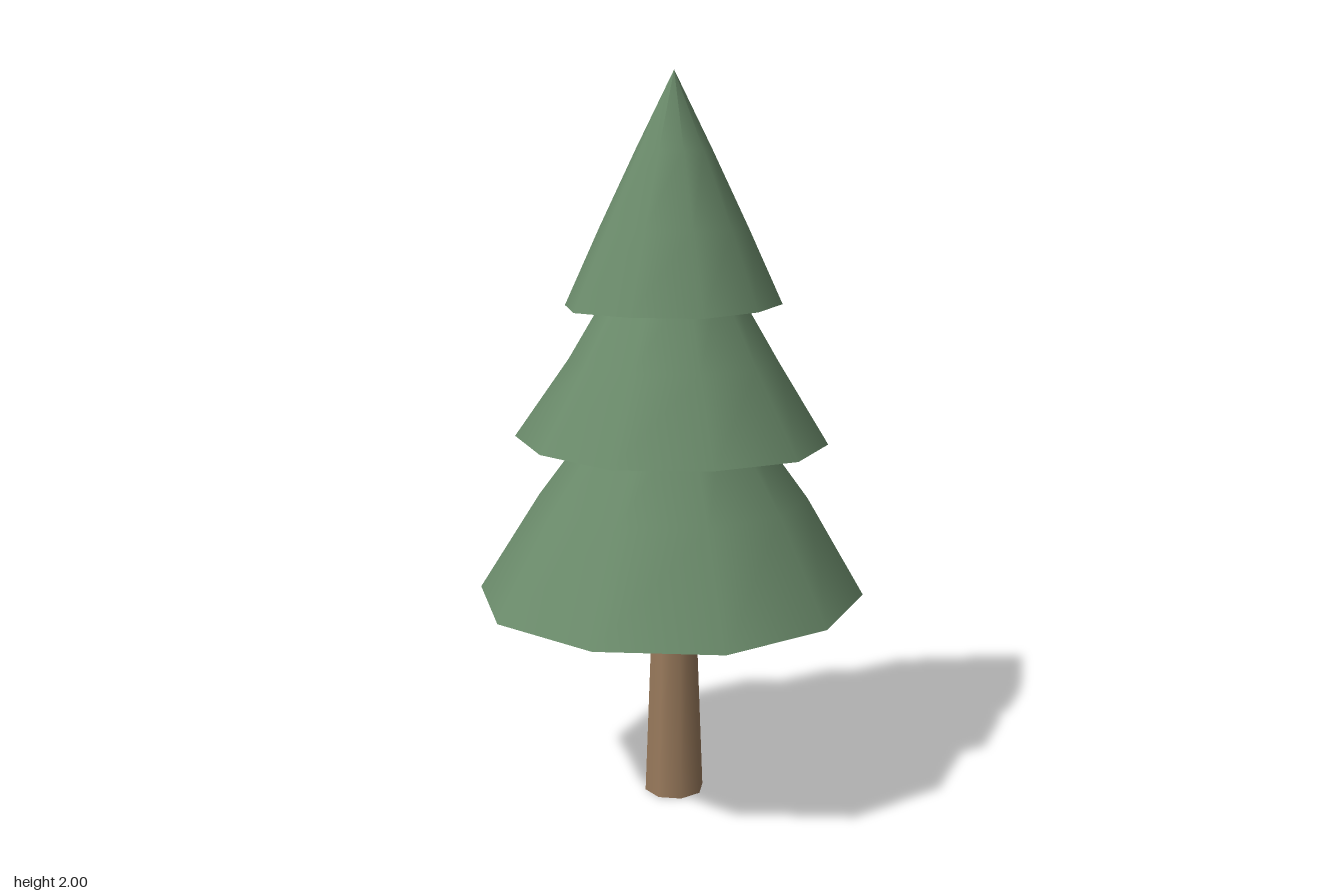
import * as THREE from 'three';

const SIDES = 10;

// One bough tier: a cone whose rings follow a flared, slightly uneven profile.
// rim lists the radius of each corner, starting at the front and turning to +x.
function makeTier(name, material, baseY, topY, rings, rim) {
  const height = topY - baseY;
  const mean = rim.reduce((a, b) => a + b, 0) / SIDES;
  const geometry = new THREE.ConeGeometry(mean, height, SIDES, 3);
  const p = geometry.attributes.position;
  for (let i = 0; i < p.count; i++) {
    const x = p.getX(i), z = p.getZ(i), r = Math.hypot(x, z);
    if (r < 1e-4) continue; // apex and underside centre stay put
    const angle = Math.atan2(x, z);
    const k = (Math.round(angle / (2 * Math.PI / SIDES)) + SIDES) % SIDES;
    const level = Math.round((p.getY(i) / height + 0.5) * 3);
    const radius = level === 0 ? rim[k] : rings[level - 1] * (0.5 + 0.5 * rim[k] / mean);
    const lift = level === 0 ? 0.006 * Math.sin(7 * k + 40 * baseY) : 0;
    p.setXYZ(i, Math.sin(angle) * radius, p.getY(i) + lift, Math.cos(angle) * radius);
  }
  const mesh = new THREE.Mesh(geometry, material);
  mesh.name = name;
  mesh.position.set(-0.005, baseY + height / 2, 0);
  return mesh;
}

export function createModel() {
  const needles = new THREE.MeshStandardMaterial({ color: 0x6a8a6a });
  needles.name = 'needle green';
  const bark = new THREE.MeshStandardMaterial({ color: 0x997a5c });
  bark.name = 'bark brown';

  const tree = new THREE.Group();
  tree.name = 'pineTree';

  // Tapered trunk, ending inside the lowest tier
  const trunk = new THREE.Mesh(new THREE.CylinderGeometry(0.058, 0.084, 0.66, 8), bark);
  trunk.name = 'trunk';
  trunk.position.set(-0.005, 0.33, 0);
  tree.add(trunk);

  // Three stacked tiers of boughs
  tree.add(
    makeTier('lowerBoughs', needles, 0.588, 1.4, [0.37, 0.17],
      [0.537, 0.516, 0.524, 0.548, 0.511, 0.543, 0.532, 0.546, 0.542, 0.536]),
    makeTier('middleBoughs', needles, 1.015, 1.68, [0.28, 0.152],
      [0.411, 0.417, 0.42, 0.403, 0.42, 0.405, 0.41, 0.44, 0.41, 0.415]),
    makeTier('upperBoughs', needles, 1.388, 2.0, [0.2, 0.102],
      [0.307, 0.283, 0.291, 0.291, 0.28, 0.296, 0.3, 0.296, 0.305, 0.3]),
  );
  return tree;
}
